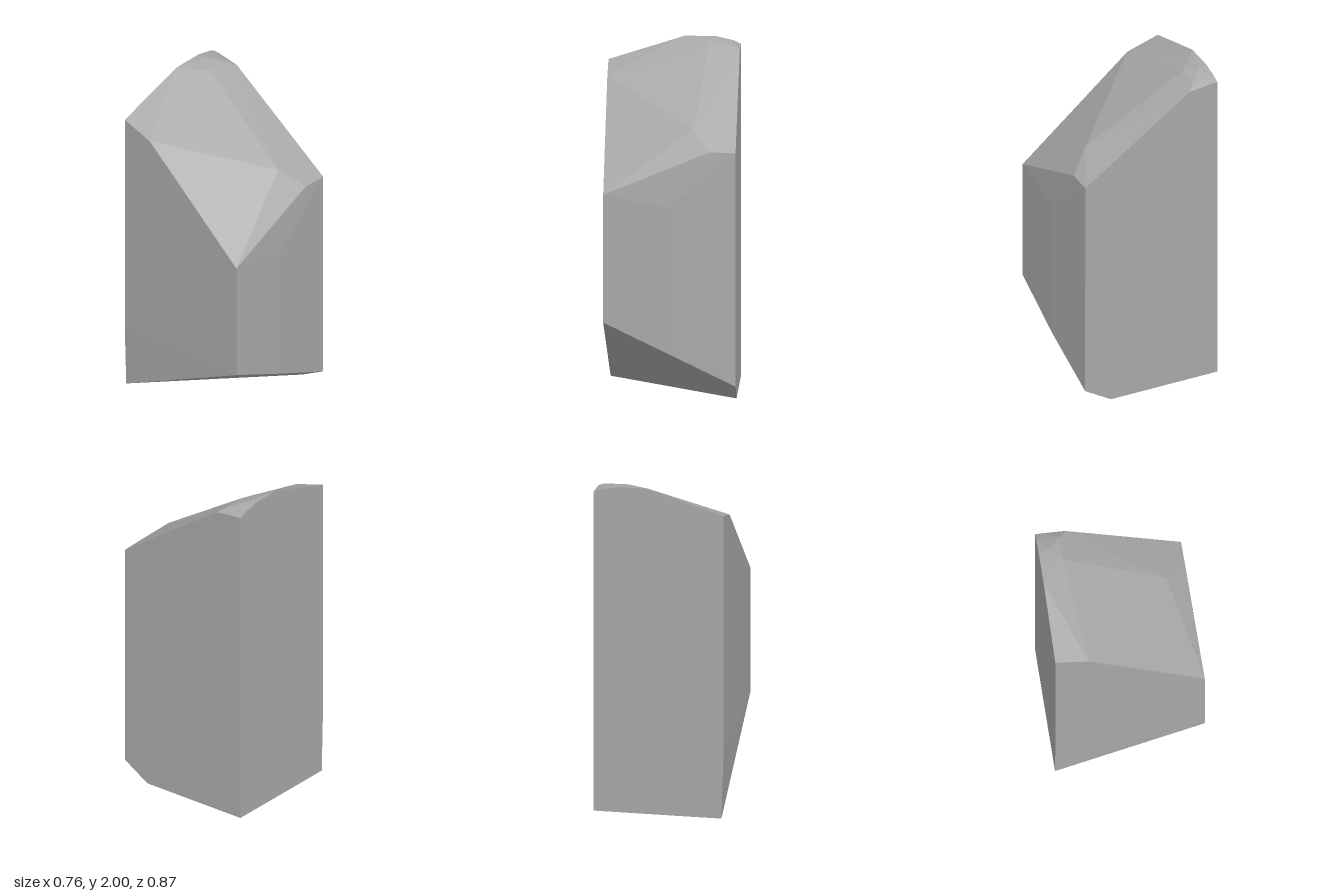
import * as THREE from 'three';
import { ConvexGeometry } from 'three/addons/geometries/ConvexGeometry.js';

export function createModel() {
  const model = new THREE.Group();
  model.name = 'rockPillar';

  const stone = new THREE.MeshStandardMaterial({ color: 0xa8a8a8 });
  stone.name = 'stone grey';

  const X = 0.382, Z = 0.437;
  const corners = [
    // bottom: small flat triangle, then the chipped underside rising to the front
    [-0.37, 0, -Z], [X, 0, -Z], [X, 0, 0.25],
    [-X, 0.4, -Z], [-X, 0.475, Z - 0.001], [0, 0.29, Z], [X, 0.1, 0.416],
    // front face upper edge
    [-X, 1.225, Z - 0.001], [0, 1.15, Z], [0.235, 1.475, 0.415], [X, 1.47, 0.415],
    // sloping top
    [0.135, 1.585, 0.29], [0.155, 1.58, 0.29],
    [-X, 1.8, -0.24], [0.2, 1.97, -0.305], [0.34, 1.965, -0.3], [X, 1.937, -0.26],
    // peak and back edge
    [-X, 1.86, -Z], [0.06, 2, -Z], [0.24, 1.998, -Z], [0.26, 1.994, -0.38],
    [0.34, 1.975, -Z], [X, 1.955, -0.4], [X, 1.955, -Z],
  ];

  // faceted stone body wrapped around the corners
  const body = new THREE.Mesh(
    new ConvexGeometry(corners.map((c) => new THREE.Vector3(...c))), stone);
  body.name = 'stoneBody';
  model.add(body);
  return model;
}
